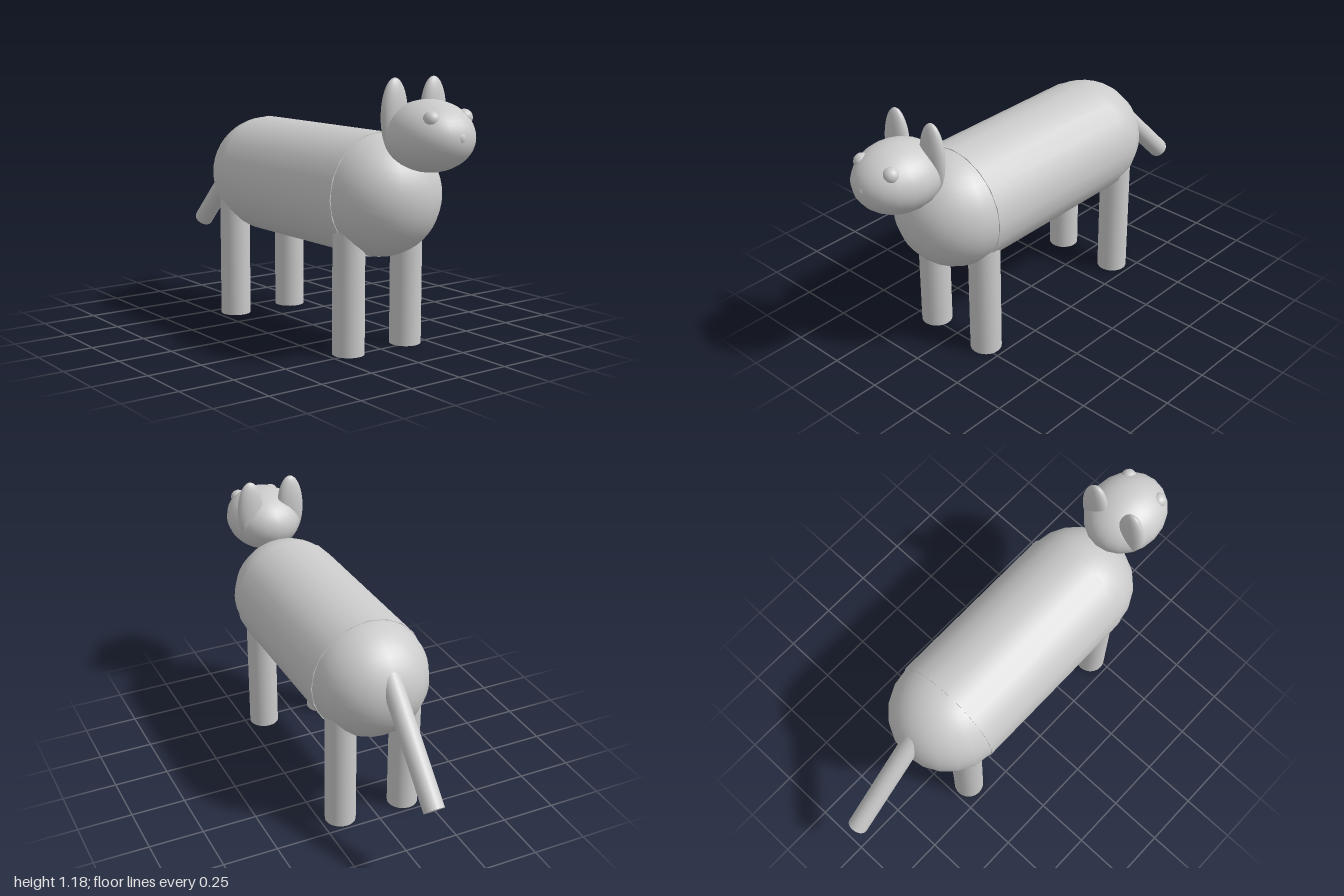
import * as THREE from 'three';

export function createModel() {
  const group = new THREE.Group();
  const material = new THREE.MeshStandardMaterial({ color: 0xcccccc });

  const add = (name, geometry, x, y, z) => {
    const mesh = new THREE.Mesh(geometry, material);
    mesh.name = name;
    mesh.position.set(x, y, z);
    group.add(mesh);
    return mesh;
  };
  const ellipsoid = (rx, ry, rz) => new THREE.SphereGeometry(1, 20, 24).scale(rx, ry, rz);

  // Barrel body with a rounded chest and rump
  add('body', new THREE.CylinderGeometry(0.27, 0.27, 0.85, 20).rotateX(Math.PI / 2), 0, 0.675, 0.065);
  add('chest', ellipsoid(0.265, 0.265, 0.265), 0, 0.675, 0.485);
  add('rump', ellipsoid(0.265, 0.265, 0.265), 0, 0.675, -0.36);

  // Head and nose
  add('head', ellipsoid(0.175, 0.147, 0.202), 0, 0.953, 0.796);
  add('nose', ellipsoid(0.03, 0.04, 0.04), 0, 0.957, 0.96);

  // Paired parts
  for (const [side, s] of [['left', 1], ['right', -1]]) {
    add(side + 'Ear', ellipsoid(0.065, 0.155, 0.036), s * 0.103, 1.03, 0.7);
    add(side + 'Eye', ellipsoid(0.035, 0.035, 0.035), s * 0.086, 1.03, 0.905);
    for (const [end, z] of [['Front', 0.475], ['Back', -0.415]]) {
      add(side + end + 'Leg', new THREE.CylinderGeometry(0.07, 0.07, 0.58, 24), s * 0.157, 0.29, z);
    }
  }

  // Straight tail sloping down and back at 45 degrees
  const start = new THREE.Vector3(0, 0.783, -0.551);
  const end = new THREE.Vector3(0, 0.367, -0.967);
  const mid = start.clone().add(end).multiplyScalar(0.5);
  const tail = add('tail', new THREE.CylinderGeometry(0.046, 0.046, start.distanceTo(end), 20), 0, mid.y, mid.z);
  tail.rotation.x = Math.PI / 4;

  return group;
}
